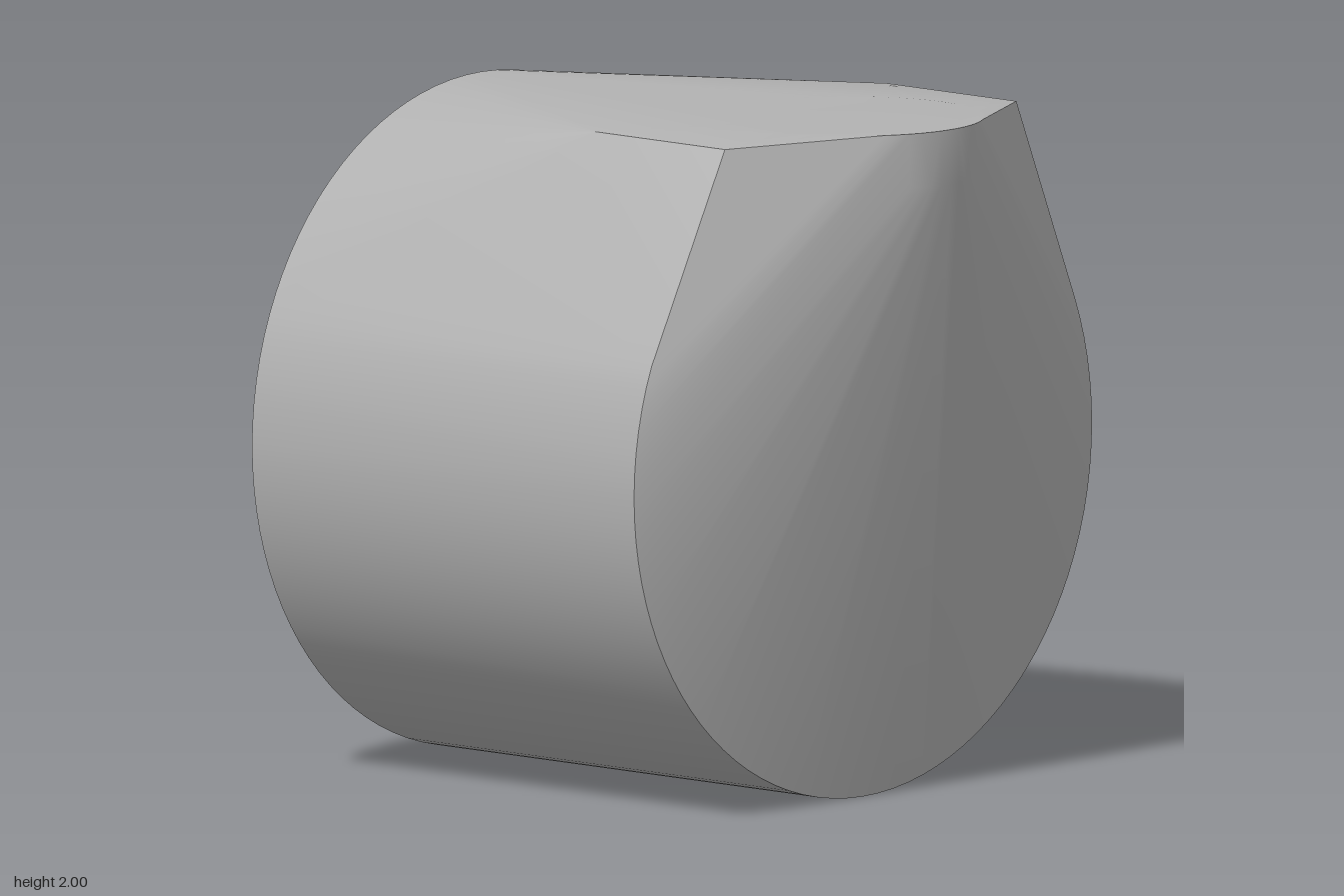
import * as THREE from 'three';
import { ConvexGeometry } from 'three/addons/geometries/ConvexGeometry.js';
import { toCreasedNormals } from 'three/addons/utils/BufferGeometryUtils.js';

const R = 0.99; // main barrel radius
const NOSE_R = 0.38;

// Evenly spaced points on a circle, placed by a callback
function ring(count, radius, place) {
  return Array.from({ length: count }, (_, i) => {
    const a = (i / count) * Math.PI * 2;
    return place(Math.cos(a) * radius, Math.sin(a) * radius);
  });
}

export function createModel() {
  const group = new THREE.Group();
  group.name = 'housing';
  const grey = new THREE.MeshStandardMaterial({ color: 0xb2b2b2 });
  grey.name = 'grey';

  const points = [];
  // Round barrel ends, back and front
  for (const z of [-0.925, 0.58]) {
    points.push(...ring(96, R, (u, v) => new THREE.Vector3(u, R + v, z)));
  }
  // Short upright nose disc at the top front
  for (const y of [1.84, 2]) {
    points.push(...ring(64, NOSE_R, (u, v) => new THREE.Vector3(u, y, 0.545 + v)));
  }
  // Shoulder edges on both sides of the top
  for (const x of [-0.63, 0.63]) {
    for (const z of [0.1, 0.61]) points.push(new THREE.Vector3(x, 1.98, z));
  }

  // Skin stretched over all sections, smooth except at hard edges
  const body = new THREE.Mesh(toCreasedNormals(new ConvexGeometry(points), 0.5), grey);
  body.name = 'body';
  group.add(body);
  return group;
}
